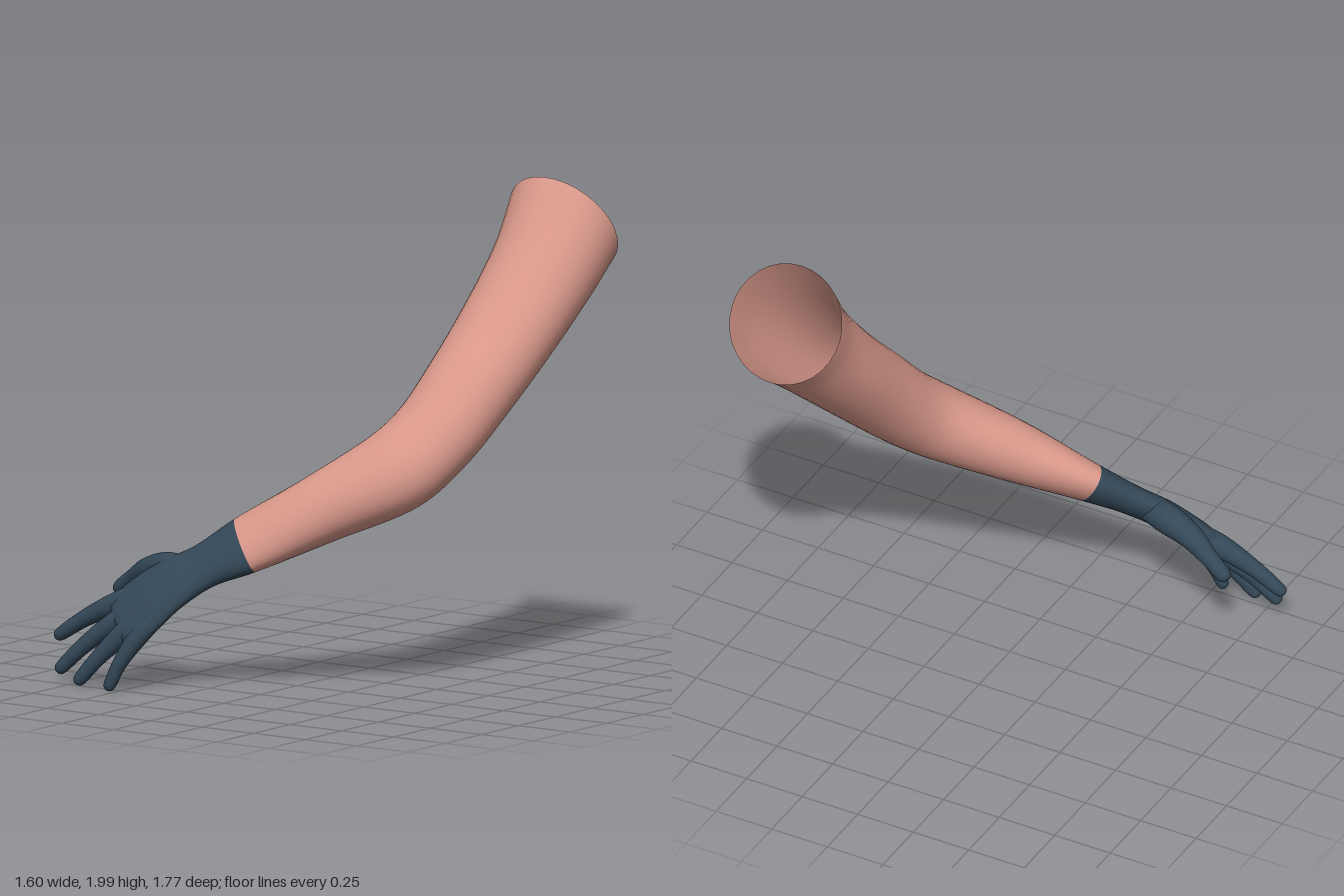
import * as THREE from 'three';

const SIDES = 32, STEPS = 8;
const BACK_OF_HAND = new THREE.Vector3(-0.75, 0.66, 0);

// Lofts a smooth skin through elliptical stations [x, y, z, thickness radius, width radius].
// Returns a function that gives the skin between two stations as a geometry.
function loft(stations, firstDirection) {
  const centres = stations.map(s => new THREE.Vector3(s[0], s[1], s[2]));
  const last = stations.length - 1;
  const rings = stations.map((s, i) => {
    const t = i === 0 && firstDirection
      ? firstDirection.clone()
      : centres[Math.min(i + 1, last)].clone().sub(centres[Math.max(i - 1, 0)]);
    t.normalize();
    const n = BACK_OF_HAND.clone().addScaledVector(t, -BACK_OF_HAND.dot(t)).normalize();
    const v = t.clone().cross(n);
    return Array.from({ length: SIDES }, (_, j) => {
      const a = (j / SIDES) * Math.PI * 2;
      return centres[i].clone()
        .addScaledVector(n, Math.cos(a) * s[3])
        .addScaledVector(v, Math.sin(a) * s[4]);
    });
  });

  const rows = last * STEPS;
  const curves = rings[0].map((_, j) => new THREE.CatmullRomCurve3(rings.map(r => r[j])));
  const positions = [];
  for (let i = 0; i <= rows; i++) {
    for (const curve of curves) positions.push(...curve.getPoint(i / rows).toArray());
  }
  const faces = (from, to) => {
    const index = [];
    for (let i = from * STEPS; i < to * STEPS; i++) {
      for (let j = 0; j < SIDES; j++) {
        const k = (j + 1) % SIDES;
        const a = i * SIDES + j, b = i * SIDES + k;
        index.push(a, b, a + SIDES, b, b + SIDES, a + SIDES);
      }
    }
    return index;
  };
  const whole = new THREE.BufferGeometry();
  whole.setAttribute('position', new THREE.Float32BufferAttribute(positions, 3));
  whole.setIndex(faces(0, last));
  whole.computeVertexNormals();
  return (from = 0, to = last) => {
    const part = whole.clone();
    part.setIndex(faces(from, to));
    return part;
  };
}

// Tapering finger with a rounded tip, through points [x, y, z, radius]
function finger(points) {
  const stations = points.map(([x, y, z, r]) => [x, y, z, r, r]);
  const [p, q] = points.slice(-2);
  const end = new THREE.Vector3(q[0], q[1], q[2]);
  const dir = end.clone().sub(new THREE.Vector3(p[0], p[1], p[2])).normalize();
  for (const [along, size] of [[0.55, 0.83], [0.88, 0.48], [1, 0.01]]) {
    const c = end.clone().addScaledVector(dir, along * q[3]);
    stations.push([c.x, c.y, c.z, size * q[3], size * q[3]]);
  }
  return loft(stations)();
}

export function createModel() {
  const skin = new THREE.MeshStandardMaterial({ color: 0xdb9a8c, side: THREE.DoubleSide });
  skin.name = 'skin';
  const fabric = new THREE.MeshStandardMaterial({ color: 0x344858 });
  fabric.name = 'glove fabric';

  const model = new THREE.Group();
  model.name = 'glovedArm';
  const add = (name, geometry, material, parent = model) => {
    const mesh = new THREE.Mesh(geometry, material);
    mesh.name = name;
    parent.add(mesh);
  };

  // Open shoulder, upper arm, elbow, forearm, wrist and palm in one continuous skin
  const limb = loft([
    [0.665, 1.80, 0.645, 0.24, 0.243],
    [0.54, 1.64, 0.64, 0.20, 0.228],
    [0.33, 1.40, 0.60, 0.175, 0.212],
    [0.125, 1.18, 0.55, 0.165, 0.195],
    [-0.02, 1.02, 0.495, 0.155, 0.188],
    [-0.14, 0.90, 0.41, 0.15, 0.188],
    [-0.31, 0.735, 0.15, 0.122, 0.15],
    [-0.45, 0.585, -0.11, 0.078, 0.137],
    [-0.53, 0.50, -0.25, 0.06, 0.108],
    [-0.60, 0.42, -0.37, 0.056, 0.128],
    [-0.67, 0.305, -0.49, 0.05, 0.145],
    [-0.695, 0.26, -0.54, 0.036, 0.125],
    [-0.70, 0.25, -0.555, 0.001, 0.06],
  ], new THREE.Vector3(-0.83, -0.56, 0));
  add('arm', limb(0, 7), skin);

  // Glove
  const glove = new THREE.Group();
  glove.name = 'glove';
  model.add(glove);
  add('palm', limb(7, 12), fabric, glove);

  const fingers = {
    thumb: [[-0.56, 0.47, -0.30, 0.05], [-0.515, 0.475, -0.43, 0.06],
      [-0.485, 0.45, -0.55, 0.05], [-0.455, 0.40, -0.65, 0.036], [-0.438, 0.355, -0.72, 0.031]],
    indexFinger: [[-0.59, 0.40, -0.47, 0.04], [-0.63, 0.335, -0.59, 0.046],
      [-0.65, 0.26, -0.74, 0.034], [-0.66, 0.185, -0.855, 0.026]],
    middleFinger: [[-0.63, 0.36, -0.44, 0.04], [-0.675, 0.28, -0.55, 0.045],
      [-0.72, 0.17, -0.69, 0.033], [-0.745, 0.07, -0.79, 0.026]],
    ringFinger: [[-0.66, 0.34, -0.40, 0.04], [-0.71, 0.25, -0.49, 0.044],
      [-0.76, 0.13, -0.60, 0.032], [-0.78, 0.04, -0.675, 0.026]],
    littleFinger: [[-0.67, 0.33, -0.35, 0.035], [-0.73, 0.225, -0.43, 0.039],
      [-0.768, 0.12, -0.49, 0.029], [-0.782, 0.03, -0.53, 0.024]],
  };
  for (const [name, points] of Object.entries(fingers)) add(name, finger(points), fabric, glove);

  return model;
}
